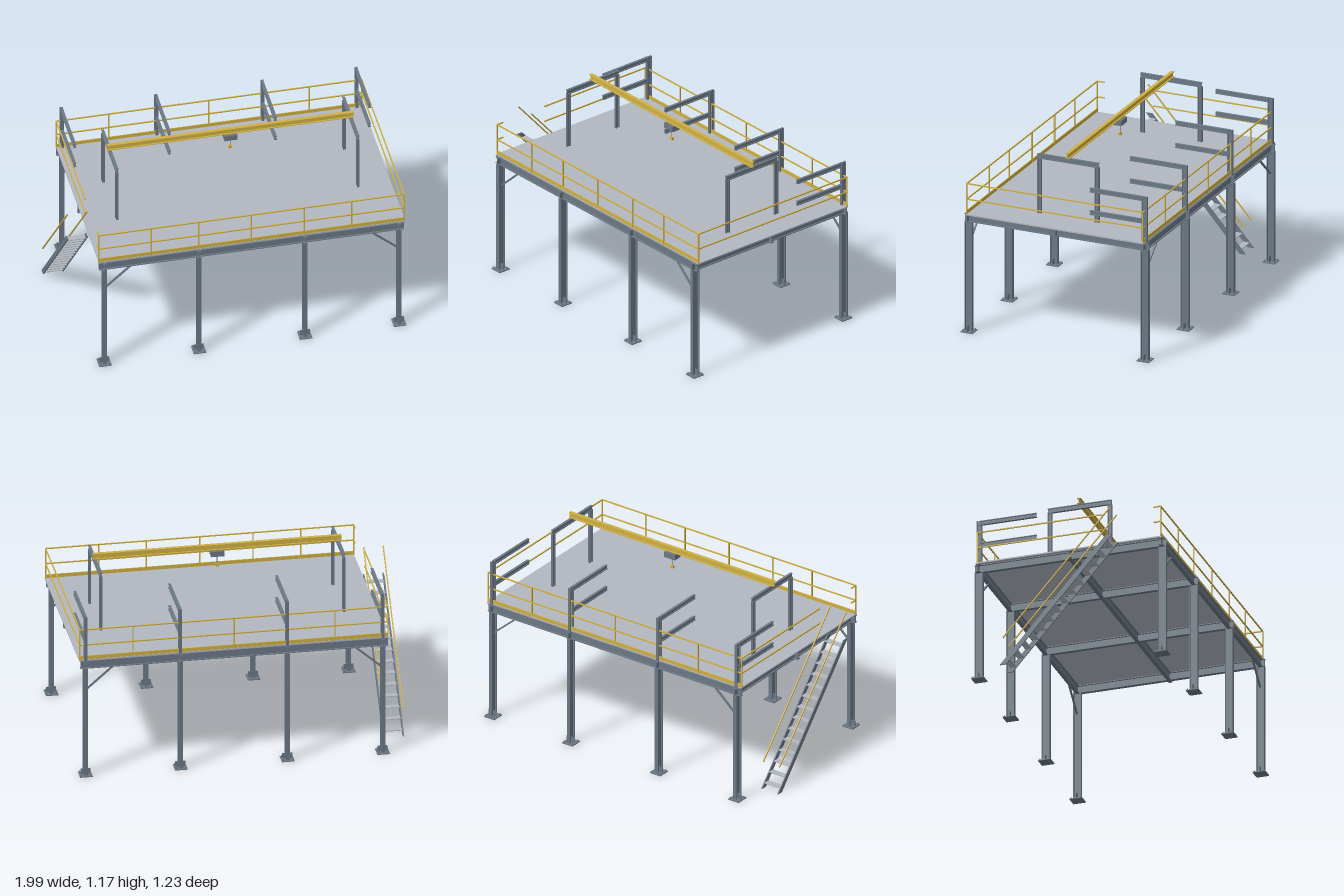
import * as THREE from 'three';

const mat = (name, color) => {
  const m = new THREE.MeshStandardMaterial({ color });
  m.name = name;
  return m;
};

export function createModel() {
  const steel = mat('blue grey steel', 0x6c7885);
  const yellow = mat('safety yellow', 0xcfb042);
  const plate = mat('light grey deck', 0xb2b7bf);
  const root = new THREE.Group();
  root.name = 'mezzaninePlatform';

  const group = (name) => {
    const g = new THREE.Group();
    g.name = name;
    root.add(g);
    return g;
  };
  const add = (parent, name, geometry, material) => {
    const m = new THREE.Mesh(geometry, material);
    m.name = name;
    parent.add(m);
    return m;
  };
  // Box given by its centre and size
  const box = (parent, name, material, [x, y, z], [w, h, d]) =>
    add(parent, name, new THREE.BoxGeometry(w, h, d).translate(x, y, z), material);

  // Extruded I-section from a to b; "deep" is the direction of the web
  const iBeam = (parent, name, material, a, b, depth, width, deep, web = 0.004, flange = 0.005) => {
    const start = new THREE.Vector3(...a), dir = new THREE.Vector3(...b).sub(start);
    const length = dir.length();
    dir.normalize();
    const up = new THREE.Vector3(...deep);
    const side = new THREE.Vector3().crossVectors(up, dir);
    const h = depth / 2, w = width / 2, t = web / 2, f = h - flange;
    const shape = new THREE.Shape([
      [-w, -h], [w, -h], [w, -f], [t, -f], [t, f], [w, f],
      [w, h], [-w, h], [-w, f], [-t, f], [-t, -f], [-w, -f],
    ].map(([x, y]) => new THREE.Vector2(x, y)));
    const g = new THREE.ExtrudeGeometry(shape, { depth: length, bevelEnabled: false });
    g.applyMatrix4(new THREE.Matrix4().makeBasis(side, up, dir).setPosition(start));
    return add(parent, name, g, material);
  };

  // Square bar between two points
  const bar = (parent, name, material, a, b, size) => {
    const p = new THREE.Vector3(...a), q = new THREE.Vector3(...b);
    const m = add(parent, name, new THREE.BoxGeometry(size, size, p.distanceTo(q)), material);
    m.position.copy(p).add(q).multiplyScalar(0.5);
    m.lookAt(q);
    return m;
  };

  const Y = [0, 1, 0], Z = [0, 0, 1];
  const columnX = [-0.835, -0.26, 0.385, 0.957];
  const x0 = -0.868, x1 = 0.99, zSide = 0.575;

  // Columns with base plates, stiffeners and anchor bolts
  const columns = group('columns');
  for (const x of columnX) {
    for (const z of [-zSide, zSide]) {
      iBeam(columns, 'column', steel, [x, 0, z], [x, 0.7, z], 0.05, 0.024, Z);
      box(columns, 'basePlate', steel, [x, 0.003, z], [0.076, 0.006, 0.078]);
      box(columns, 'baseStiffener', steel, [x, 0.022, z], [0.06, 0.04, 0.004]);
      for (const sx of [-1, 1]) for (const sz of [-1, 1]) {
        add(columns, 'anchorBolt', new THREE.CylinderGeometry(0.003, 0.003, 0.014, 6)
          .translate(x + sx * 0.029, 0.008, z + sz * 0.03), steel);
      }
    }
  }

  // Floor beams, knee braces and deck
  const floor = group('floorFrame');
  for (const z of [-zSide, 0, zSide]) {
    iBeam(floor, 'longBeam', steel, [x0, 0.725, z], [0.987, 0.725, z], 0.05, 0.024, Y);
  }
  for (const x of columnX) {
    iBeam(floor, 'crossBeam', steel, [x, 0.725, -0.6], [x, 0.725, 0.6], 0.05, 0.024, Y);
  }
  for (const z of [-zSide, zSide]) {
    bar(floor, 'kneeBrace', steel, [-0.825, 0.565, z], [-0.67, 0.702, z], 0.01);
    bar(floor, 'kneeBrace', steel, [0.947, 0.565, z], [0.79, 0.702, z], 0.01);
  }
  box(root, 'deck', plate, [0.0635, 0.754, 0], [1.863, 0.008, 1.16]);

  // Guard rails on all sides, open at the stair head
  const rails = group('guardRails');
  const postX = [x0, -0.548, -0.26, 0.06, 0.383, 0.67, x1];
  for (const z of [-zSide, zSide]) {
    for (const x of postX) box(rails, 'railPost', yellow, [x, 0.854, z], [0.007, 0.196, 0.007]);
    box(rails, 'toeBoard', yellow, [(x0 + x1) / 2, 0.768, z], [x1 - x0 + 0.007, 0.024, 0.005]);
    for (const y of [0.852, 0.951]) bar(rails, 'rail', yellow, [x0, y, z], [x1, y, z], 0.007);
  }
  for (const y of [0.852, 0.951]) {
    bar(rails, 'endRail', yellow, [x1, y, -zSide], [x1, y, zSide], 0.007);
    bar(rails, 'stairSideRail', yellow, [x0, y, -zSide], [x0, y, 0.21], 0.007);
    bar(rails, 'stairSideRail', yellow, [x0, y, 0.53], [x0, y, zSide], 0.007);
  }

  // Bracket frames standing on the rear columns
  const brackets = group('rearBrackets');
  for (const x of columnX) {
    iBeam(brackets, 'bracketPost', steel, [x, 0.75, -0.573], [x, 1.04, -0.573], 0.034, 0.018, Z);
    for (const y of [0.883, 1.026]) {
      iBeam(brackets, 'bracketArm', steel, [x, y, -0.573], [x, y, -0.215], 0.027, 0.016, Y);
    }
  }

  // Two portal frames carrying the hoist runway
  const gantry = group('hoistGantry');
  for (const x of [-0.671, 0.795]) {
    for (const z of [-0.188, 0.188]) {
      iBeam(gantry, 'portalPost', steel, [x, 0.755, z], [x, 1.107, z], 0.026, 0.016, Z);
    }
    iBeam(gantry, 'portalBeam', steel, [x, 1.121, -0.2], [x, 1.121, 0.2], 0.03, 0.016, Y);
  }
  iBeam(gantry, 'runwayBeam', yellow, [-0.69, 1.153, 0], [0.81, 1.153, 0], 0.036, 0.022, Y, 0.003, 0.004);
  box(gantry, 'hoistBody', steel, [0.06, 1.117, 0], [0.08, 0.034, 0.054]);
  add(gantry, 'hoistChain', new THREE.CylinderGeometry(0.002, 0.002, 0.062, 8).translate(0.06, 1.071, 0), steel);
  box(gantry, 'hookBlock', yellow, [0.06, 1.036, 0], [0.022, 0.016, 0.016]);

  // Stair along the left end, climbing toward the front
  const stair = group('stair');
  const slope = 0.886;
  for (const x of [-0.996, -0.878]) {
    // Shape runs in (z, y); it is turned so that its first axis becomes z
    const s = new THREE.Shape([[-0.39, 0], [-0.35, 0], [0.314, 0.75], [0.274, 0.75]]
      .map(([z, y]) => new THREE.Vector2(-z, y)));
    add(stair, 'stringer', new THREE.ExtrudeGeometry(s, { depth: 0.007, bevelEnabled: false })
      .rotateY(Math.PI / 2).translate(x - 0.0035, 0, 0), steel);
    bar(stair, 'stairHandrail', yellow, [x, 0.175, -0.372], [x, 0.93, 0.302], 0.007);
  }
  for (let i = 0; i < 14; i++) {
    const y = 0.03 + i * 0.053;
    box(stair, 'tread', plate, [-0.937, y, -0.37 + slope * y], [0.112, 0.005, 0.04]);
  }

  return root;
}
